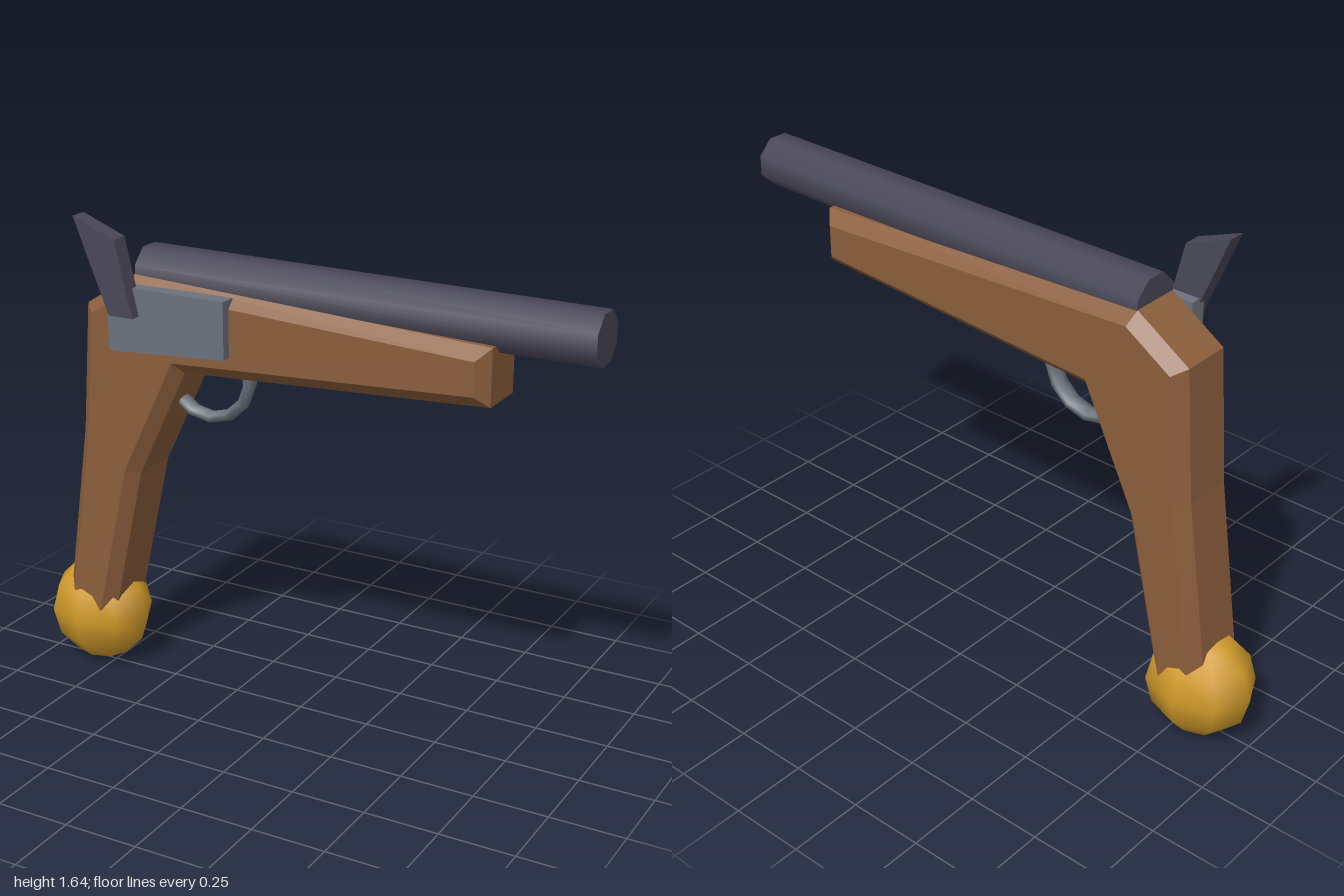
import * as THREE from 'three';

const mat = (name, color) => {
  const m = new THREE.MeshStandardMaterial({ color });
  m.name = name;
  return m;
};

export function createModel() {
  const wood = mat('walnut wood', 0x8b5e3c);
  const iron = mat('dark iron', 0x4a4858);
  const steel = mat('grey steel', 0x6b727c);
  const brass = mat('brass', 0xd09a2a);
  const midZ = -0.018;

  const group = new THREE.Group();
  group.name = 'pistol';
  const add = (name, geometry, material) => {
    const mesh = new THREE.Mesh(geometry, material);
    mesh.name = name;
    group.add(mesh);
    return mesh;
  };

  // Side outline (x, y) extruded from z0 to z1, with an optional chamfer inside the outline
  const slab = (points, z0, z1, bevel = 0) => {
    const shape = new THREE.Shape(points.map(([x, y]) => new THREE.Vector2(x, y)));
    return new THREE.ExtrudeGeometry(shape, {
      depth: z1 - z0 - 2 * bevel,
      bevelEnabled: bevel > 0,
      bevelSize: bevel,
      bevelThickness: bevel,
      bevelOffset: -bevel,
      bevelSegments: 1,
    }).translate(0, 0, z0 + bevel);
  };

  // Chamfered stock and grip in one piece
  add('stock', slab([
    [-0.893, 0.19], [-0.704, 0.19], [-0.575, 0.76], [-0.392, 1.14], [0.68, 1.2],
    [0.68, 1.385], [-0.572, 1.447], [-0.762, 1.325], [-0.795, 0.88],
  ], -0.141, 0.105, 0.04), wood);

  // Eight-sided, slightly tapered barrel
  const barrel = add('barrel',
    new THREE.CylinderGeometry(0.087, 0.092, 1.572, 8, 1, false, Math.PI / 8), iron);
  barrel.rotation.z = -Math.PI / 2;
  barrel.position.set(0.214, 1.44, midZ);

  // Round pommel, narrower across the sides
  const pommel = add('pommel', new THREE.SphereGeometry(0.187, 8, 6), brass);
  pommel.scale.z = 0.855;
  pommel.position.set(-0.813, 0.187, midZ);

  // Lock plate and hammer on the near side
  add('lockPlate', slab([
    [-0.635, 1.2], [-0.2, 1.23], [-0.2, 1.42], [-0.635, 1.42],
  ], 0.08, 0.138), steel);
  add('hammer', slab([
    [-0.605, 1.33], [-0.515, 1.33], [-0.575, 1.58], [-0.73, 1.64],
  ], 0.115, 0.175), iron);

  // Trigger guard, its ends sunk into the stock and grip
  const guard = add('triggerGuard',
    new THREE.TorusGeometry(0.152, 0.02, 6, 8, Math.PI * 1.2), steel);
  guard.rotation.z = -169 * Math.PI / 180;
  guard.scale.z = 1.6;
  guard.position.set(-0.348, 1.125, midZ);

  return group;
}
